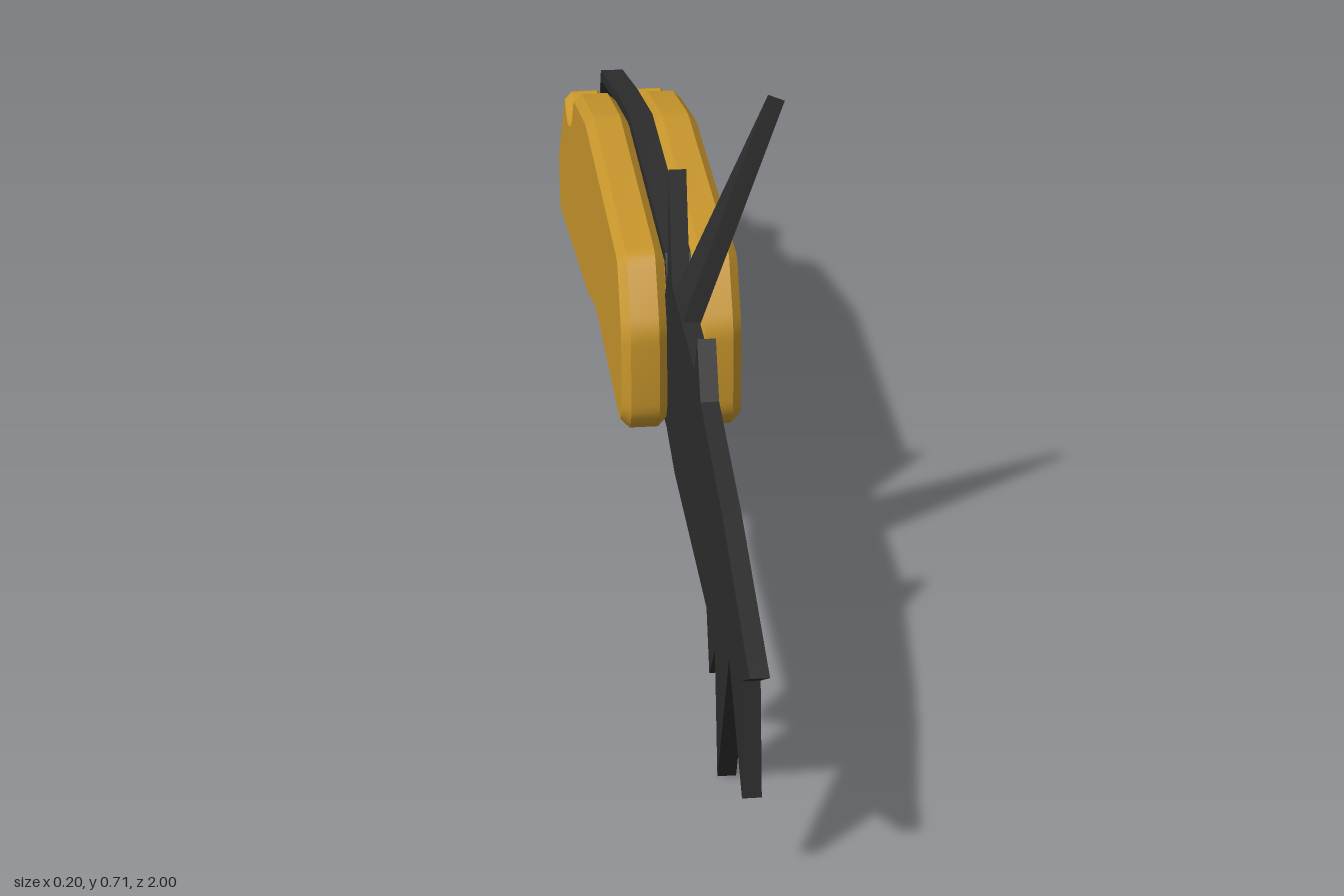
import * as THREE from 'three';
import { toCreasedNormals } from 'three/addons/utils/BufferGeometryUtils.js';

const gold = new THREE.MeshStandardMaterial({ color: 0xc8962c });
gold.name = 'gold';
const charcoal = new THREE.MeshStandardMaterial({ color: 0x2d2d2d });
charcoal.name = 'charcoal';

// Side profiles are [z, y] pairs
const toVectors = (profile) => profile.map(([z, y]) => new THREE.Vector2(-z, y));

// Cut every corner with a small curve
function roundedShape(points, radius) {
  const shape = new THREE.Shape();
  points.forEach((p, i) => {
    const toward = (q) => p.clone().add(q.clone().sub(p).setLength(Math.min(radius, p.distanceTo(q) * 0.4)));
    const a = toward(points[(i + points.length - 1) % points.length]);
    const b = toward(points[(i + 1) % points.length]);
    if (i === 0) shape.moveTo(a.x, a.y);
    else shape.lineTo(a.x, a.y);
    shape.quadraticCurveTo(p.x, p.y, b.x, b.y);
  });
  shape.closePath();
  return shape;
}

// Move a closed outline inward by a constant wall thickness
function inset(points, wall) {
  const sign = THREE.ShapeUtils.area(points) > 0 ? 1 : -1;
  const n = points.length;
  const inward = (a, b) => {
    const d = b.clone().sub(a).normalize();
    return new THREE.Vector2(-d.y * sign, d.x * sign);
  };
  return points.map((p, i) => {
    const n1 = inward(points[(i + n - 1) % n], p);
    const n2 = inward(p, points[(i + 1) % n]);
    const sum = n1.clone().add(n2);
    return p.clone().add(sum.multiplyScalar(wall / (1 + n1.dot(n2))));
  });
}

// Extrude a side profile across x, from x0 to x1, with an optional chamfer
function slab(name, shape, x0, x1, material, chamfer = 0) {
  let geometry = new THREE.ExtrudeGeometry(shape, {
    depth: x1 - x0 - 2 * chamfer,
    bevelEnabled: chamfer > 0,
    bevelSize: chamfer,
    bevelThickness: chamfer,
    bevelOffset: -chamfer,
    bevelSegments: 1,
    curveSegments: 3,
  });
  geometry.translate(0, 0, x0 + chamfer);
  geometry.rotateY(Math.PI / 2);
  geometry = toCreasedNormals(geometry, 0.6);
  const mesh = new THREE.Mesh(geometry, material);
  mesh.name = name;
  return mesh;
}

export function createModel() {
  const model = new THREE.Group();
  model.name = 'foldingKnife';

  // Handle scales with a chamfered rim and a thumb notch at the rear
  const scaleProfile = [
    [0.056, 0.425], [0.115, 0.335], [0.115, 0.21], [0.085, 0.18], [-0.298, 0.18],
    [-0.437, 0.142], [-0.968, 0.061], [-0.992, 0.155], [-0.845, 0.32], [-0.79, 0.292],
    [-0.716, 0.318], [-0.673, 0.377], [-0.448, 0.425],
  ];
  const scaleShape = roundedShape(toVectors(scaleProfile), 0.02);
  model.add(slab('leftScale', scaleShape, -0.002, 0.06, gold, 0.012));
  model.add(slab('rightScale', scaleShape, -0.1, -0.038, gold, 0.012));

  // Hollow frame between the scales
  const frameOutline = toVectors([
    [0.06, 0.425], [0.115, 0.34], [0.115, 0.21], [0.085, 0.178], [-0.437, 0.142],
    [-0.97, 0.062], [-1, 0.165], [-0.92, 0.318], [-0.673, 0.378], [-0.448, 0.425],
  ]);
  const frameShape = new THREE.Shape(frameOutline);
  frameShape.holes.push(new THREE.Path(inset(frameOutline, 0.016)));
  model.add(slab('frame', frameShape, -0.037, -0.003, charcoal));

  // Jagged blade with its tang inside the handle
  const bladeProfile = [
    [1, 0.307], [0.732, 0.377], [0.501, 0.414], [0.464, 0.482], [0.432, 0.425],
    [0.169, 0.425], [0.126, 0.57], [0.11, 0.42], [0.094, 0.38], [0.03, 0.36],
    [0.03, 0.21], [0.1, 0.185], [0.196, 0.168], [0.571, 0.168], [0.603, 0.094],
    [0.662, 0.158], [0.692, 0], [0.807, 0.227], [0.937, 0.115], [0.918, 0.258],
  ];
  model.add(slab('blade', new THREE.Shape(toVectors(bladeProfile)), -0.039, -0.016, charcoal));

  // Tall spike on the blade's spine, bent to the left
  const spikeProfile = [[0.287, 0], [0.223, 0.302], [0.194, 0]];
  const spike = slab('bentSpike', new THREE.Shape(toVectors(spikeProfile)), -0.0115, 0.0115, charcoal);
  spike.position.set(-0.0275, 0.422, 0);
  spike.rotation.z = -0.392;
  model.add(spike);

  return model;
}
